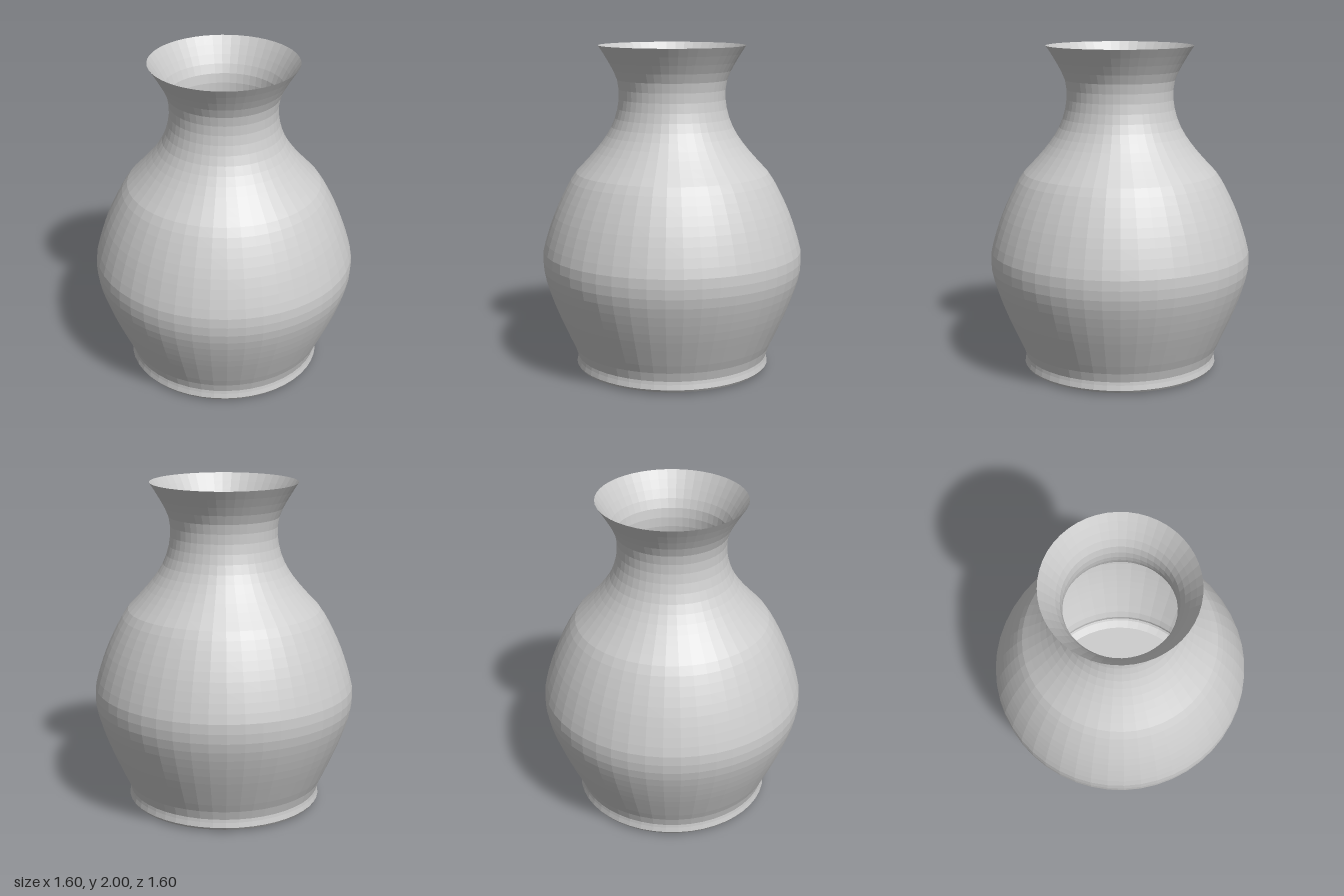
import * as THREE from 'three';

const SEGMENTS = 48;

// Give every face its own normal for a faceted finish
function faceted(geometry) {
  const flat = geometry.toNonIndexed();
  flat.computeVertexNormals();
  return flat;
}

export function createModel() {
  const vase = new THREE.Group();
  vase.name = 'vase';
  const clay = new THREE.MeshStandardMaterial({ color: 0xcccccc, side: THREE.DoubleSide });
  clay.name = 'grey clay';

  // Foot: rounded lip with a small waist above it
  const foot = [[0.54, 0], [0.59, 0.015], [0.6, 0.03], [0.594, 0.06]]
    .map(([r, y]) => new THREE.Vector2(r, y));

  // Belly, shoulder, neck and flared rim as one smooth curve
  const body = new THREE.SplineCurve([
    [0.592, 0.08], [0.605, 0.125], [0.64, 0.2], [0.726, 0.4], [0.786, 0.58],
    [0.8, 0.7], [0.784, 0.8], [0.715, 1.0], [0.613, 1.2], [0.525, 1.3],
    [0.44, 1.4], [0.375, 1.5], [0.338, 1.6], [0.324, 1.7], [0.336, 1.8],
    [0.385, 1.9], [0.447, 2],
  ].map(([r, y]) => new THREE.Vector2(r, y))).getSpacedPoints(36);

  const wall = new THREE.Mesh(
    faceted(new THREE.LatheGeometry([...foot, ...body], SEGMENTS)), clay);
  wall.name = 'wall';

  // Flat base, also seen through the open neck
  const base = new THREE.Mesh(
    new THREE.CircleGeometry(0.54, SEGMENTS).rotateX(Math.PI / 2), clay);
  base.name = 'base';

  vase.add(wall, base);
  return vase;
}
